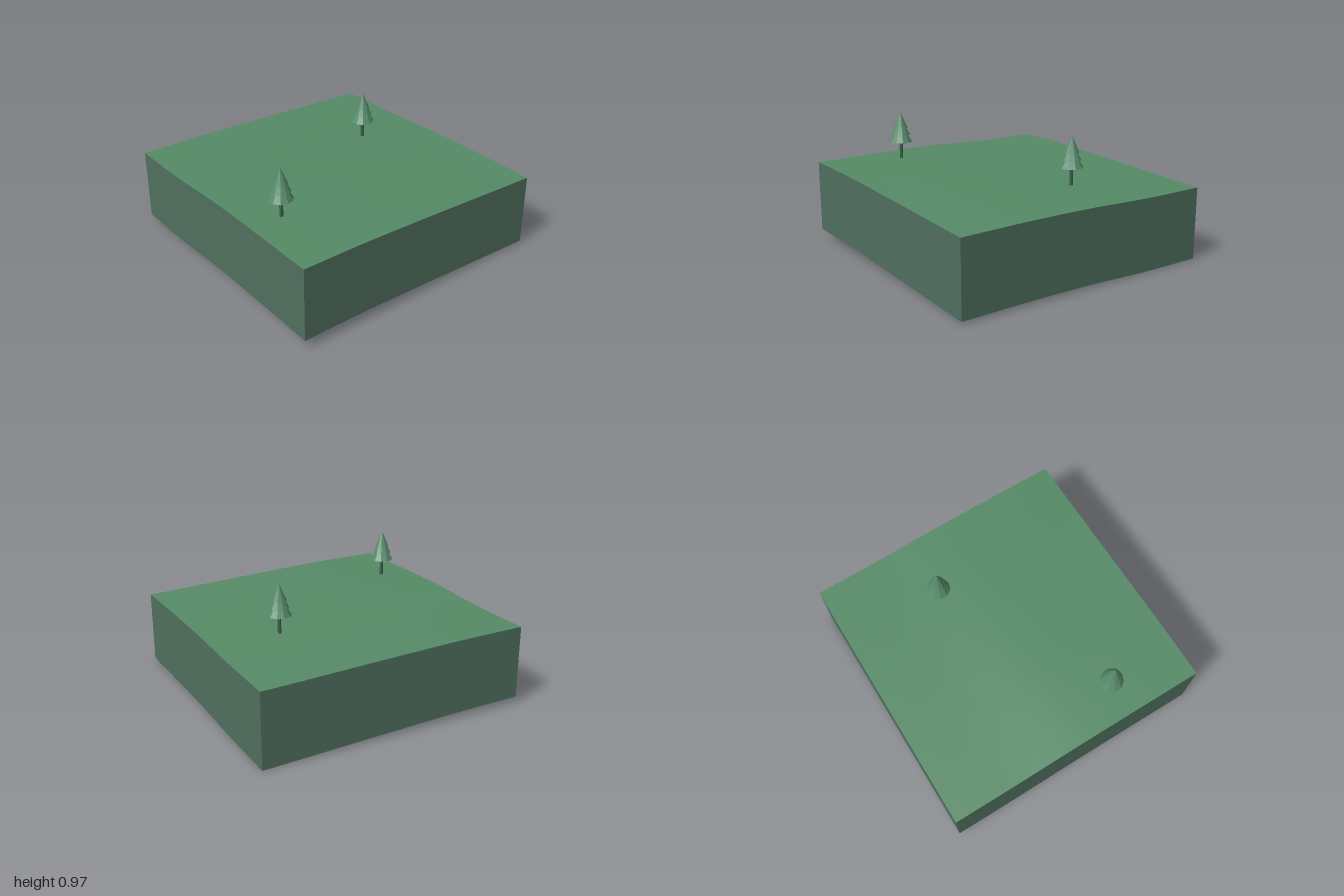
import * as THREE from 'three';

const DEPTH = 0.535;
const SEGMENTS = 20;

// Smooth curve through values spaced evenly over -1..1
function profile(values) {
  const curve = new THREE.SplineCurve(values.map((v, i) => new THREE.Vector2(i, v)));
  return (p) => curve.getPoint(THREE.MathUtils.clamp((p + 1) / 2, 0, 1)).y;
}

// Rolling ground: a west edge and an east edge, blended across x
const westEdge = profile([0.577, 0.579, 0.604, 0.606, 0.602]);
const eastEdge = profile([0.535, 0.537, 0.553, 0.556, 0.549]);
const blend = profile([0, 0.04, 0.32, 0.67, 1]);
const groundHeight = (x, z) => THREE.MathUtils.lerp(westEdge(z), eastEdge(z), blend(x));

function reshape(geometry, rule) {
  const pos = geometry.attributes.position;
  for (let i = 0; i < pos.count; i++) {
    pos.setY(i, rule(pos.getX(i), pos.getY(i), pos.getZ(i)));
  }
  geometry.computeVertexNormals();
  return geometry;
}

export function createModel() {
  const material = (name, color, options = {}) =>
    new THREE.MeshStandardMaterial({ name, color, ...options });
  const grass = material('grass green', 0x558a66, { side: THREE.DoubleSide });
  const earth = material('grey green earth', 0x50705f, { side: THREE.DoubleSide });
  const needles = material('needle green', 0x568a6b, { flatShading: true });
  const bark = material('dark green bark', 0x3a6048, { flatShading: true });

  const model = new THREE.Group();
  model.name = 'terrainTile';
  const add = (parent, name, geometry, mat) => {
    const mesh = new THREE.Mesh(geometry, mat);
    mesh.name = name;
    parent.add(mesh);
    return mesh;
  };

  // Ground surface
  const top = new THREE.PlaneGeometry(2, 2, SEGMENTS, SEGMENTS).rotateX(-Math.PI / 2);
  add(model, 'ground', reshape(top, (x, y, z) => groundHeight(x, z)), grass);

  // Side walls, open underneath, with a lower edge that follows the ground
  ['frontWall', 'leftWall', 'backWall', 'rightWall'].forEach((name, i) => {
    const wall = new THREE.PlaneGeometry(2, 1, SEGMENTS, 1)
      .translate(0, 0, 1)
      .rotateY((i * Math.PI) / 2);
    add(model, name, reshape(wall, (x, y, z) => groundHeight(x, z) - (y < 0 ? DEPTH : 0)), earth);
  });

  // Conifers: a thin trunk and three stacked cones [base height, radius, height]
  const tiers = [[0.13, 0.086, 0.14], [0.184, 0.069, 0.135], [0.235, 0.053, 0.125]];
  for (const [x, z] of [[-0.75, 0.42], [0.5, -0.25]]) {
    const tree = new THREE.Group();
    tree.name = 'tree';
    tree.position.set(x, groundHeight(x, z), z);
    add(tree, 'trunk', new THREE.CylinderGeometry(0.013, 0.013, 0.16, 8), bark).position.y = 0.07;
    for (const [base, radius, height] of tiers) {
      const cone = add(tree, 'foliage', new THREE.ConeGeometry(radius, height, 10), needles);
      cone.position.y = base + height / 2;
    }
    model.add(tree);
  }
  return model;
}
